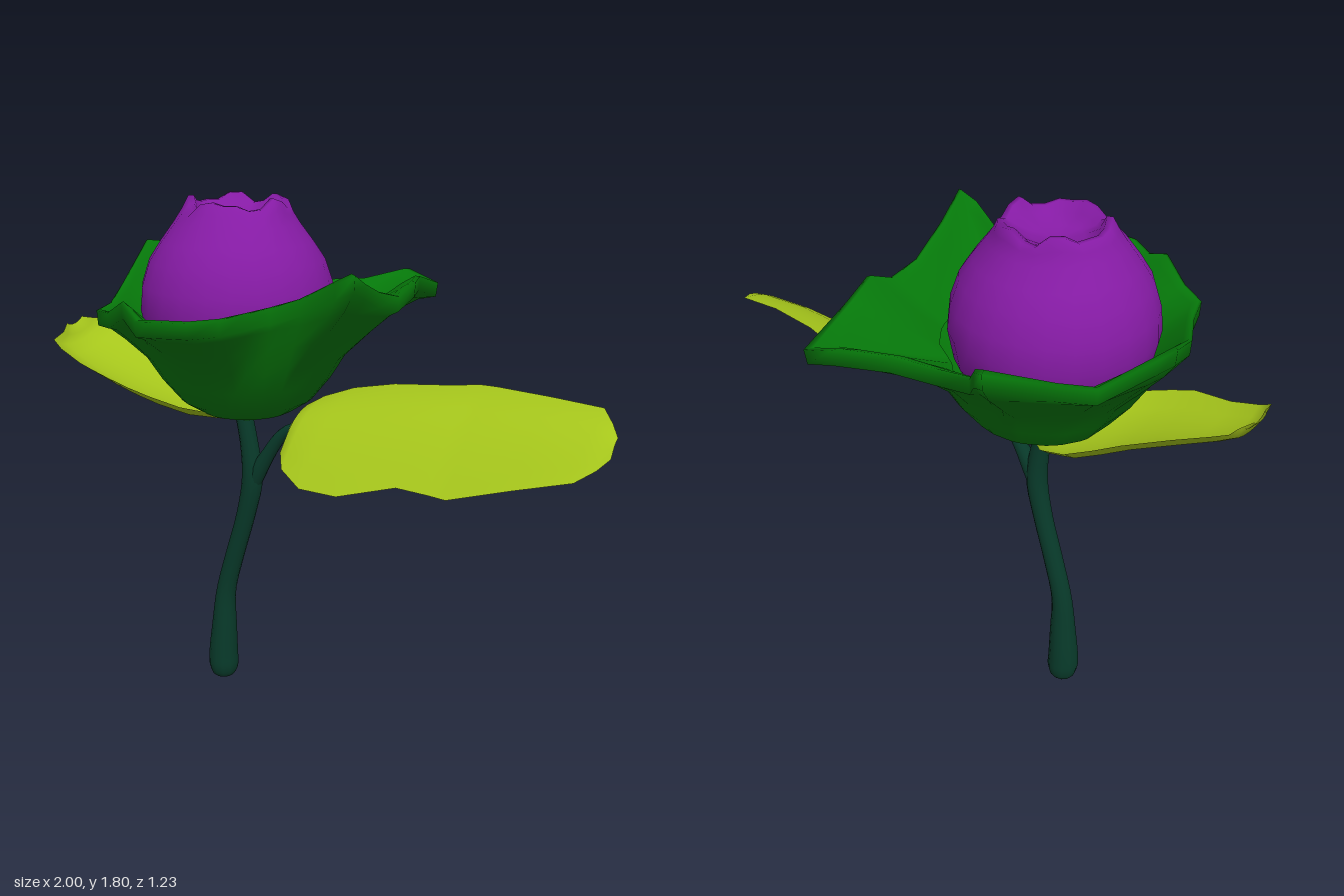
import * as THREE from 'three';

const mat = (name, color) =>
  Object.assign(new THREE.MeshStandardMaterial({ color, side: THREE.DoubleSide }), { name });

// Smooth skin through rows of points; closed rows wrap round on themselves
function loft(name, rows, closed, material) {
  const n = rows[0].length, pos = [], idx = [];
  rows.forEach(r => r.forEach(p => pos.push(p.x, p.y, p.z)));
  for (let i = 0; i < rows.length - 1; i++) {
    for (let j = 0; j < (closed ? n : n - 1); j++) {
      const k = (j + 1) % n, a = i * n + j, b = i * n + k, c = a + n, d = b + n;
      idx.push(a, c, b, b, c, d);
    }
  }
  const g = new THREE.BufferGeometry();
  g.setAttribute('position', new THREE.Float32BufferAttribute(pos, 3));
  g.setIndex(idx);
  g.computeVertexNormals();
  const mesh = new THREE.Mesh(g, material);
  mesh.name = name;
  return mesh;
}

// Round stalk lying in a plane of constant z; stations are [x, y, radius]
function stalk(name, stations, z, material) {
  const curve = new THREE.CatmullRomCurve3(stations.map(s => new THREE.Vector3(...s)));
  const steps = stations.length * 3, sides = 12, rows = [];
  for (let i = 0; i <= steps; i++) {
    const p = curve.getPoint(i / steps), t = curve.getTangent(i / steps).setZ(0).normalize();
    const r = Math.max(p.z, 0.001);
    rows.push(Array.from({ length: sides }, (_, j) => {
      const a = j / sides * Math.PI * 2;
      return new THREE.Vector3(p.x - t.y * Math.cos(a) * r, p.y + t.x * Math.cos(a) * r, z + Math.sin(a) * r);
    }));
  }
  return loft(name, rows, true, material);
}

// Leaf from ribs [x, y1, z1, y2, z2] between its two edges, bowed by sag in the middle;
// a low power makes the bow flat with steep edges
function leaf(name, ribs, sag, power, material) {
  const steps = 8, widest = Math.max(...ribs.map(r => Math.hypot(r[1] - r[3], r[2] - r[4])));
  const rows = ribs.map(([x, y1, z1, y2, z2]) => {
    const bow = sag * Math.hypot(y1 - y2, z1 - z2) / widest;
    return Array.from({ length: steps + 1 }, (_, j) => {
      const t = j / steps, lift = bow * Math.max(Math.sin(Math.PI * t), 0) ** power;
      return new THREE.Vector3(x, y1 + (y2 - y1) * t + lift, z1 + (z2 - z1) * t);
    });
  });
  return loft(name, rows, false, material);
}

// Ragged rim of the sepal cup: [x, z, y]
const RIM = [
  [-0.53, -0.62, 1.61], [-0.44, -0.54, 1.55], [-0.38, -0.48, 1.48], [-0.24, -0.46, 1.45], [-0.1, -0.5, 1.46],
  [0.02, -0.61, 1.49], [0.14, -0.6, 1.45], [0.17, -0.38, 1.51], [0.23, -0.22, 1.52], [0.215, -0.13, 1.485],
  [0.2, -0.02, 1.515], [0.24, 0.16, 1.575], [0.29, 0.32, 1.63], [0.23, 0.33, 1.6], [0.08, 0.28, 1.53],
  [0, 0.33, 1.505], [-0.03, 0.42, 1.5], [-0.05, 0.53, 1.5], [-0.11, 0.61, 1.5], [-0.25, 0.61, 1.49],
  [-0.33, 0.57, 1.475], [-0.42, 0.52, 1.515], [-0.53, 0.455, 1.46], [-0.62, 0.4, 1.45], [-0.66, 0.28, 1.45],
  [-0.75, 0.1, 1.48], [-0.84, -0.16, 1.59], [-0.82, -0.22, 1.58], [-0.71, -0.34, 1.5], [-0.63, -0.42, 1.52],
];

function sepalCup(material) {
  const cx = -0.29, cz = 0.02, lerp = THREE.MathUtils.lerp;
  const ring = f => RIM.map(([x, z, y]) => {
    const R = Math.hypot(x - cx, z - cz), [r, h] = f(R, y);
    return new THREE.Vector3(cx + (x - cx) / R * r, h, cz + (z - cz) / R * r);
  });
  const bowl = [[0.001, 1.045], [0.08, 1.05], [0.16, 1.075], [0.23, 1.12], [0.295, 1.2], [0.345, 1.28]];
  // [spread towards the rim, rise towards the rim, height offset]: outside, lip, then inside
  const lip = [[0.4, 0.27, 0], [0.8, 0.62, 0], [0.98, 1, -0.05], [1, 1, 0], [0.93, 1, 0.003],
    [0.75, 0.75, 0.03], [0.35, 0.4, 0.035], [-0.1, 0.1, 0.03]];
  const rows = bowl.map(p => ring(() => p));
  lip.forEach(([w, h, dy]) => rows.push(ring((R, y) => [lerp(0.355, R, w), lerp(1.31, y, h) + dy])));
  return loft('sepalCup', rows, true, material);
}

function flowerBud(material) {
  // [radius, height, amount of raggedness]
  const profile = [[0.001, 1.12, 0], [0.15, 1.16, 0], [0.25, 1.23, 0], [0.31, 1.33, 0], [0.33, 1.43, 0],
    [0.322, 1.51, 0], [0.295, 1.59, 0], [0.255, 1.65, 0], [0.21, 1.71, 0.1], [0.185, 1.745, 0.5],
    [0.168, 1.775, 1], [0.15, 1.775, 1], [0.13, 1.745, 0.4], [0.08, 1.72, 0], [0.001, 1.71, 0]];
  const sides = 24;
  const rows = profile.map(([r, y, k]) => Array.from({ length: sides }, (_, j) => {
    const a = j / sides * Math.PI * 2;
    const jag = k * (0.014 * Math.sin(a * 5 + 0.6) + 0.01 * Math.sin(a * 8));
    return new THREE.Vector3(-0.32 + Math.cos(a) * r, y + jag, 0.02 - 0.02 * k + Math.sin(a) * r);
  }));
  return loft('flowerBud', rows, true, material);
}

export function createModel() {
  const stemGreen = mat('stemGreen', 0x083a2a);
  const sepalGreen = mat('sepalGreen', 0x06780a);
  const leafLime = mat('leafLime', 0xa5c51b);
  const petalPurple = mat('petalPurple', 0x851ba4);
  const model = new THREE.Group();
  model.name = 'flower';

  // Stem, and a side branch that runs on under the left leaf
  model.add(stalk('stem', [[-0.41, 0, 0.001], [-0.41, 0.015, 0.04], [-0.41, 0.05, 0.054], [-0.41, 0.1, 0.054],
    [-0.402, 0.22, 0.046], [-0.39, 0.36, 0.036], [-0.345, 0.52, 0.034], [-0.295, 0.68, 0.034],
    [-0.265, 0.82, 0.037], [-0.275, 0.95, 0.032], [-0.3, 1.08, 0.03]], 0.04, stemGreen));
  model.add(stalk('branch', [[-0.275, 0.76, 0.02], [-0.245, 0.84, 0.03], [-0.195, 0.925, 0.025],
    [-0.14, 1, 0.021], [-0.09, 1.035, 0.017], [0, 1.045, 0.014], [0.12, 1.045, 0.012],
    [0.13, 1.045, 0.001]], 0.04, stemGreen));

  // Bud in its cup
  model.add(sepalCup(sepalGreen), flowerBud(petalPurple));

  // Leaves
  model.add(leaf('leftLeaf', [
    [-0.095, 1.06, 0.03, 1.02, 0.08], [-0.08, 1.1, -0.03, 0.98, 0.15], [-0.04, 1.125, -0.08, 0.945, 0.21],
    [0.05, 1.155, -0.13, 0.905, 0.25], [0.19, 1.18, -0.16, 0.905, 0.255], [0.38, 1.2, -0.165, 0.955, 0.21],
    [0.49, 1.21, -0.19, 0.95, 0.21], [0.55, 1.215, -0.175, 0.945, 0.21], [0.75, 1.215, -0.145, 1, 0.17],
    [0.92, 1.205, -0.14, 1.04, 0.125], [0.97, 1.18, -0.07, 1.07, 0.07], [1, 1.15, -0.03, 1.1, 0.03],
  ], 0.065, 1, leafLime));
  model.add(leaf('rightLeaf', [
    [-0.27, 1.05, 0.02, 1.05, 0.06], [-0.33, 1.075, -0.09, 1.075, 0.15], [-0.42, 1.11, -0.18, 1.11, 0.24],
    [-0.52, 1.145, -0.2, 1.145, 0.28], [-0.6, 1.175, -0.17, 1.17, 0.295], [-0.68, 1.21, -0.14, 1.195, 0.3],
    [-0.82, 1.265, -0.1, 1.22, 0.27], [-0.92, 1.3, -0.07, 1.255, 0.25], [-0.965, 1.31, -0.04, 1.28, 0.235],
    [-0.975, 1.315, 0, 1.295, 0.17], [-1, 1.325, 0.04, 1.315, 0.12],
  ], -0.08, 0.6, leafLime));
  return model;
}
